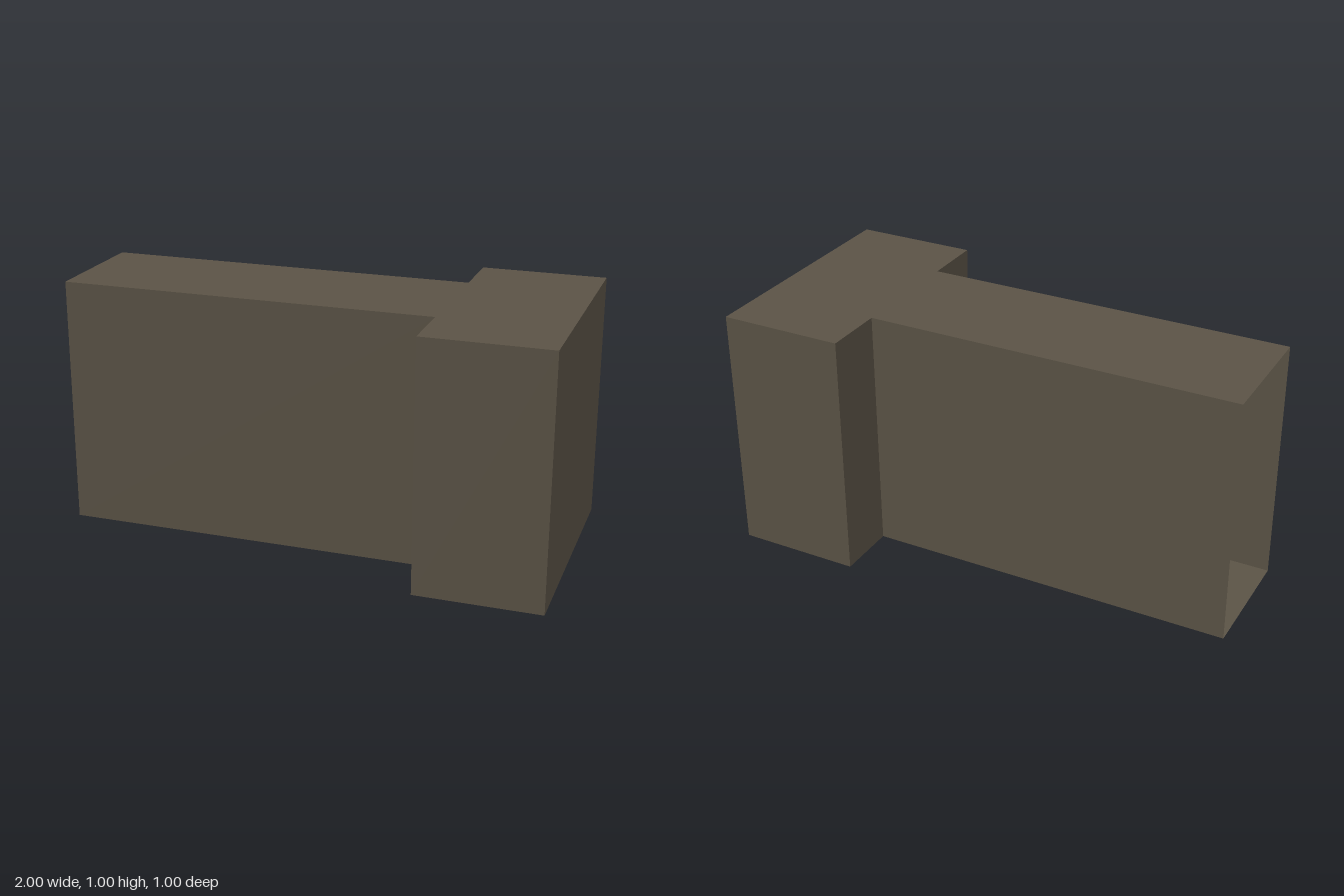
import * as THREE from 'three';

// T-shaped hollow duct, open at the end of its stem
const HEIGHT = 1;
const OUTLINE = [ // plan as [x, z], starting and ending at the open end
  [-1, 0.25], [0.5, 0.25], [0.5, 0.5], [1, 0.5],
  [1, -0.5], [0.5, -0.5], [0.5, -0.25], [-1, -0.25],
];

export function createModel() {
  const group = new THREE.Group();
  group.name = 'hollowTeeBlock';
  const brown = new THREE.MeshStandardMaterial({ color: 0x5b5346, side: THREE.DoubleSide });
  brown.name = 'drabBrown';

  // Upright walls along the outline; the closing edge is left open
  const walls = new THREE.Group();
  walls.name = 'walls';
  for (let i = 0; i < OUTLINE.length - 1; i++) {
    const [ax, az] = OUTLINE[i];
    const [bx, bz] = OUTLINE[i + 1];
    const wall = new THREE.Mesh(new THREE.PlaneGeometry(Math.hypot(bx - ax, bz - az), HEIGHT), brown);
    wall.name = `wall${i + 1}`;
    wall.position.set((ax + bx) / 2, HEIGHT / 2, (az + bz) / 2);
    wall.rotation.y = Math.atan2(az - bz, bx - ax);
    walls.add(wall);
  }
  group.add(walls);

  // Roof and floor share the plan, which is symmetric in z
  const plan = new THREE.Shape(OUTLINE.map(([x, z]) => new THREE.Vector2(x, z)));
  for (const [name, y, side] of [['roof', HEIGHT, -1], ['floor', 0, 1]]) {
    const slab = new THREE.Mesh(new THREE.ShapeGeometry(plan).rotateX(side * Math.PI / 2), brown);
    slab.name = name;
    slab.position.y = y;
    group.add(slab);
  }
  return group;
}
